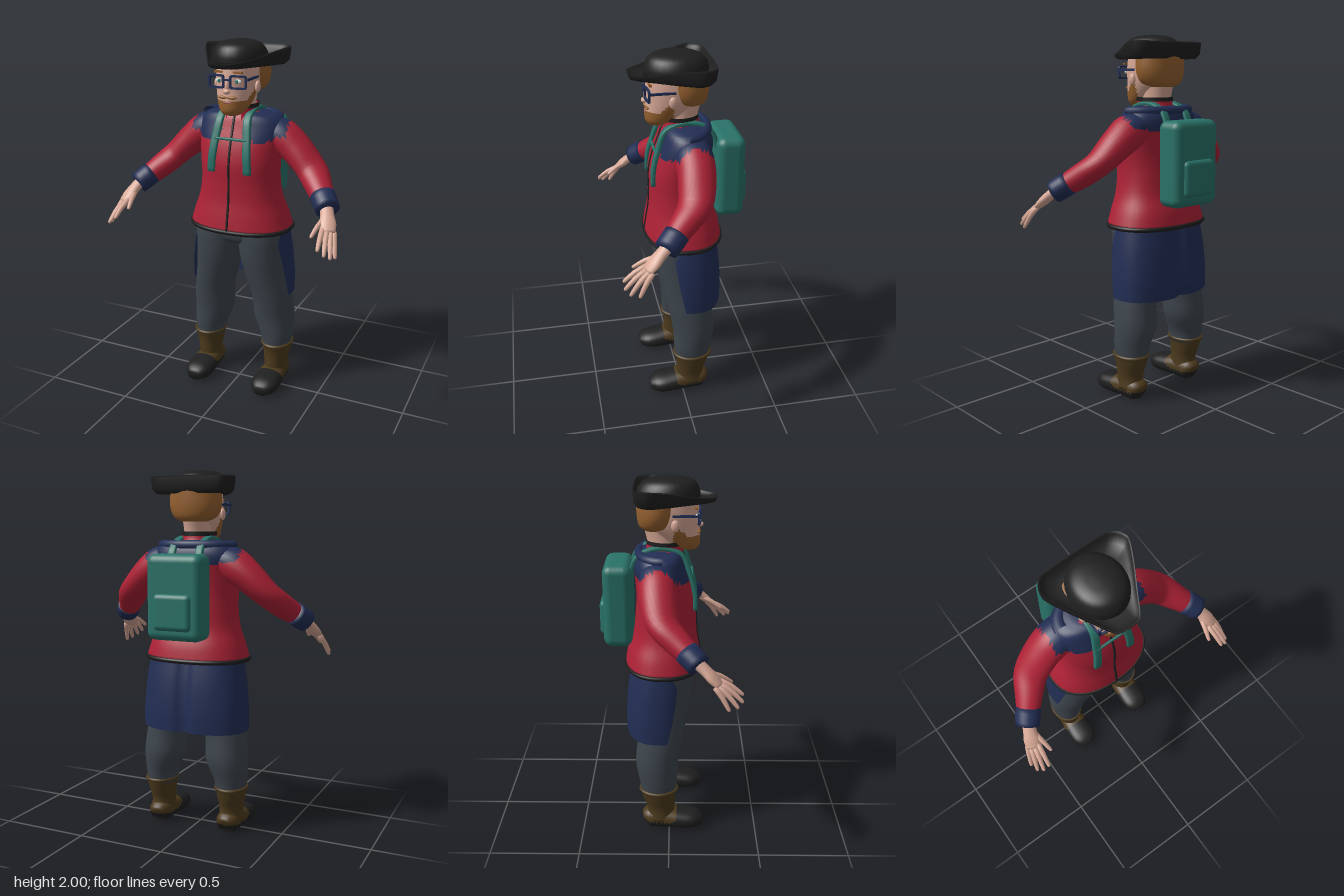
import * as THREE from 'three';
import { mergeVertices } from 'three/addons/utils/BufferGeometryUtils.js';
import { RoundedBoxGeometry } from 'three/addons/geometries/RoundedBoxGeometry.js';

const V = (x, y, z) => new THREE.Vector3(x, y, z);
const X = V(1, 0, 0), Y = V(0, 1, 0);

// Surface through rings of points; pick(x, y, z) chooses the material slot of each face
function skin(rings, { open = false, pick = () => 0 } = {}) {
  const n = rings[0].length, pts = rings.flat(), buckets = [];
  const tri = (...ids) => {
    const m = V(0, 0, 0);
    ids.forEach(i => m.addScaledVector(pts[i], 1 / 3));
    (buckets[pick(m.x, m.y, m.z)] ??= []).push(...ids);
  };
  for (let i = 0; i < rings.length - 1; i++) {
    for (let j = 0; j < (open ? n - 1 : n); j++) {
      const k = (j + 1) % n, a = i * n, b = a + n;
      tri(a + j, a + k, b + k);
      tri(a + j, b + k, b + j);
    }
  }
  if (!open) {
    [0, rings.length - 1].forEach((r, top) => {
      const c = V(0, 0, 0);
      rings[r].forEach(p => c.addScaledVector(p, 1 / n));
      const id = pts.push(c) - 1;
      for (let j = 0; j < n; j++) {
        const p = r * n + j, q = r * n + (j + 1) % n;
        top ? tri(id, p, q) : tri(id, q, p);
      }
    });
  }
  const geo = new THREE.BufferGeometry().setFromPoints(pts);
  geo.setIndex(buckets.flat());
  let start = 0;
  buckets.forEach((b, slot) => { geo.addGroup(start, b.length, slot); start += b.length; });
  geo.computeVertexNormals();
  return geo;
}

// Rounded sections along a smooth path. Rows are [x, y, z, width radius, depth radius].
// mode: 'level' keeps sections flat, 'band' keeps the width along x, 'limb' follows the path
function loft(rows, { mode = 'level', seg = 28, fine = 4, n = 2, gap, ...rest } = {}) {
  const spline = new THREE.CubicInterpolant(rows.map((_, i) => i), rows.flat(), 5);
  const steps = (rows.length - 1) * fine, samples = [];
  for (let i = 0; i <= steps; i++) samples.push([...spline.evaluate(i / fine)]);
  const sgn = v => Math.sign(v) * Math.abs(v) ** (2 / n);
  return skin(samples.map(([x, y, z, a, b], i) => {
    const p = samples[Math.max(i - 1, 0)], q = samples[Math.min(i + 1, steps)];
    const T = mode === 'level' ? Y : V(q[0] - p[0], q[1] - p[1], q[2] - p[2]).normalize();
    const A = mode === 'limb' ? Y.clone().cross(T).normalize() : X;
    const B = A.clone().cross(T).normalize();
    const g = gap ? gap(i / steps) : 0, ring = [];
    for (let j = 0; j < seg; j++) {
      const t = g + (2 * Math.PI - 2 * g) * j / (gap ? seg - 1 : seg);
      ring.push(V(x, y, z).addScaledVector(B, b * sgn(Math.cos(t))).addScaledVector(A, a * sgn(Math.sin(t))));
    }
    return ring;
  }), { open: !!gap, ...rest });
}

function mirrored(geo) {
  const g = geo.index ? geo.clone() : mergeVertices(geo);
  g.scale(-1, 1, 1);
  const ix = g.index.array;
  for (let i = 0; i < ix.length; i += 3) [ix[i], ix[i + 1]] = [ix[i + 1], ix[i]];
  return g;
}

const ball = (x, y, z, a, b, c) => new THREE.SphereGeometry(1, 16, 12).scale(a, b, c).translate(x, y, z);
const box = (x, y, z, w, h, d) => new THREE.BoxGeometry(w, h, d).translate(x, y, z);

export function createModel() {
  const model = new THREE.Group();
  const mat = (name, color, side = THREE.FrontSide) => Object.assign(new THREE.MeshStandardMaterial({ color, side }), { name });
  const red = mat('red cloth', 0xac2135, THREE.DoubleSide), navy = mat('navy cloth', 0x222e54, THREE.DoubleSide);
  const slate = mat('slate trousers', 0x3d454c), teal = mat('teal canvas', 0x297268);
  const black = mat('black felt', 0x1f1f1f, THREE.DoubleSide), brown = mat('brown leather', 0x4c3a1d);
  const ginger = mat('ginger hair', 0x94602f), flesh = mat('skin', 0xd6a795);
  const white = mat('eye white', 0xdfe3df), lip = mat('lips', 0xa8625c);
  const add = (name, geo, m) => {
    const mesh = new THREE.Mesh(geo, m);
    mesh.name = name;
    model.add(mesh);
  };
  const pair = (name, geo, m) => {
    add(name + 'Left', geo, m);
    add(name + 'Right', mirrored(geo), m);
  };

  // Jacket with navy shoulder yoke, zip and dark hem
  const torso = [
    [0, 0.98, -0.035, 0.295, 0.212], [0, 1.06, -0.033, 0.27, 0.198], [0, 1.15, -0.025, 0.237, 0.175],
    [0, 1.25, -0.022, 0.222, 0.167], [0, 1.35, -0.018, 0.224, 0.163], [0, 1.45, -0.03, 0.235, 0.155],
    [0, 1.54, -0.05, 0.245, 0.142], [0, 1.6, -0.05, 0.21, 0.12], [0, 1.625, -0.045, 0.12, 0.09]];
  const yoke = (x, y, z) => (z < -0.06 ? y > 1.5 : Math.abs(x) > 0.075 && y > 1.47 + Math.abs(Math.abs(x) - 0.15) * 0.3) ? 1 : 0;
  add('jacket', loft(torso, { seg: 40, n: 2.3, pick: yoke }), [red, navy]);
  add('hem', loft([[0, 0.968, -0.035, 0.295, 0.212], [0, 0.98, -0.035, 0.302, 0.219], [0, 0.992, -0.035, 0.297, 0.214]], { seg: 40, n: 2.3 }), black);
  add('zip', loft(torso.map(([, y, cz, , rz]) => [0, y, cz + rz, 0.007, 0.006]), { mode: 'band', seg: 8 }), black);
  add('hood', new THREE.TorusGeometry(0.18, 0.034, 10, 32, Math.PI).rotateX(-Math.PI / 2).scale(1.1, 0.75, 0.72).translate(0, 1.6, -0.035), navy);
  const collarGap = () => 0.4;
  add('collar', loft([[0, 1.585, -0.03, 0.11, 0.115], [0, 1.63, -0.025, 0.095, 0.1], [0, 1.665, -0.022, 0.092, 0.098]], { gap: collarGap }), red);
  add('collarTrim', loft([[0, 1.648, -0.022, 0.097, 0.103], [0, 1.67, -0.022, 0.097, 0.103]], { gap: collarGap }), black);

  // Open-fronted coat tails with a crease at the back
  const tails = loft([[0, 0.585, -0.06, 0.305, 0.185], [0, 0.7, -0.06, 0.303, 0.187], [0, 0.85, -0.055, 0.29, 0.18], [0, 1, -0.05, 0.265, 0.16]],
    { seg: 49, n: 2.4, gap: t => 1.36 - 0.4 * t });
  const tp = tails.attributes.position;
  for (let i = 0; i < tp.count; i++) {
    if (tp.getZ(i) < -0.1) tp.setZ(i, tp.getZ(i) + 0.03 * Math.exp(-((tp.getX(i) / 0.035) ** 2)));
  }
  tails.computeVertexNormals();
  add('coatTails', tails, navy);

  // Arms, cuffs and hands
  pair('sleeve', loft([[0.14, 1.53, -0.06, 0.09, 0.07], [0.22, 1.495, -0.06, 0.1, 0.095], [0.31, 1.43, -0.055, 0.098, 0.085],
    [0.41, 1.335, -0.025, 0.09, 0.07], [0.48, 1.265, 0.05, 0.072, 0.065], [0.55, 1.2, 0.135, 0.055, 0.052]],
  { mode: 'limb', pick: (x, y) => (x < 0.275 && y > 1.51 ? 1 : 0) }), [red, navy]);
  pair('cuff', loft([[0.512, 1.237, 0.088, 0.067, 0.063], [0.54, 1.21, 0.121, 0.066, 0.062], [0.565, 1.185, 0.152, 0.064, 0.06]],
    { mode: 'limb', fine: 2 }), navy);
  pair('palm', loft([[0.55, 1.2, 0.135, 0.036, 0.03], [0.572, 1.165, 0.18, 0.036, 0.026], [0.588, 1.13, 0.218, 0.044, 0.024],
    [0.603, 1.098, 0.252, 0.036, 0.016]], { mode: 'limb', seg: 18 }), flesh);
  const fingers = {
    index: [0.572, 1.112, 0.25, 0.588, 1.04, 0.372], middle: [0.594, 1.102, 0.253, 0.622, 1.015, 0.37],
    ring: [0.613, 1.095, 0.246, 0.648, 0.995, 0.345], little: [0.625, 1.098, 0.228, 0.66, 0.985, 0.3],
    thumb: [0.56, 1.15, 0.19, 0.533, 1.085, 0.318]
  };
  for (const [name, [x, y, z, u, v, w]] of Object.entries(fingers)) {
    const at = (t, r, lift = 0) => [x + (u - x) * t, y + (v - y) * t + lift, z + (w - z) * t, r, r];
    pair(name + 'Finger', loft([at(0, 0.015), at(0.5, 0.0135, 0.008), at(0.92, 0.01), at(1, 0.004)], { mode: 'limb', seg: 10, fine: 2 }), flesh);
  }

  // Trousers
  pair('trouserLeg', loft([[0.215, 0.24, -0.06, 0.083, 0.1], [0.213, 0.31, -0.062, 0.093, 0.107], [0.193, 0.42, -0.07, 0.117, 0.12],
    [0.183, 0.55, -0.055, 0.116, 0.125], [0.156, 0.68, -0.04, 0.123, 0.135], [0.136, 0.8, -0.025, 0.13, 0.14],
    [0.13, 0.92, -0.02, 0.135, 0.142], [0.125, 1, -0.02, 0.135, 0.138]]), slate);
  add('trouserSeat', loft([[0, 0.88, -0.03, 0.1, 0.1], [0, 0.92, -0.03, 0.22, 0.135], [0, 1.02, -0.03, 0.25, 0.145]], { n: 2.3 }), slate);

  // Boots: brown shafts on black shoes
  pair('bootShaft', loft([[0.215, 0.06, -0.055, 0.07, 0.085], [0.215, 0.13, -0.048, 0.066, 0.08], [0.217, 0.2, -0.058, 0.077, 0.092],
    [0.218, 0.262, -0.06, 0.089, 0.107]]), brown);
  pair('bootRim', new THREE.TorusGeometry(1, 0.1, 8, 28).rotateX(Math.PI / 2).scale(0.086, 0.1, 0.103).translate(0.218, 0.258, -0.06), brown);
  pair('shoe', loft([[0.213, 0.05, -0.14, 0.03, 0.03], [0.213, 0.06, -0.115, 0.062, 0.058], [0.213, 0.062, -0.03, 0.07, 0.06],
    [0.213, 0.056, 0.06, 0.08, 0.054], [0.213, 0.05, 0.14, 0.076, 0.047], [0.213, 0.04, 0.19, 0.04, 0.028]],
  { mode: 'band', n: 2.3, pick: (x, y, z) => (z < 0.045 && y > 0.055 + Math.max(0, z) * 0.5 ? 1 : 0) }), [black, brown]);

  // Head with beard, hair and face
  add('neck', loft([[0, 1.57, -0.03, 0.08, 0.085], [0, 1.66, -0.035, 0.073, 0.085], [0, 1.76, -0.045, 0.08, 0.1]]), flesh);
  const beard = (x, y, z) => z > 0.02 && (y < 1.702 || (Math.abs(x) > 0.068 && z < 0.1 && y < 1.695 + (0.1 - z) * 1.1)) ? 1 : 0;
  add('head', loft([[0, 1.622, 0.1, 0.045, 0.045], [0, 1.65, 0.075, 0.073, 0.085], [0, 1.7, 0.04, 0.095, 0.12], [0, 1.76, 0.005, 0.112, 0.15],
    [0, 1.82, -0.005, 0.117, 0.16], [0, 1.89, -0.01, 0.115, 0.155]], { seg: 44, fine: 6, pick: beard }), [flesh, ginger]);
  add('hair', loft([[0, 1.725, -0.085, 0.075, 0.055], [0, 1.75, -0.07, 0.122, 0.095], [0, 1.81, -0.065, 0.147, 0.11],
    [0, 1.9, -0.06, 0.143, 0.115]]), ginger);
  pair('ear', ball(0.118, 1.765, 0.03, 0.014, 0.032, 0.022), flesh);
  add('noseBridge', ball(0, 1.775, 0.153, 0.013, 0.035, 0.014), flesh);
  add('noseTip', ball(0, 1.75, 0.162, 0.02, 0.014, 0.016), flesh);
  pair('moustache', ball(0.024, 1.718, 0.152, 0.03, 0.009, 0.012).rotateZ(0), ginger);
  add('mouth', ball(0, 1.692, 0.157, 0.026, 0.008, 0.005), lip);
  pair('eye', ball(0.05, 1.802, 0.139, 0.023, 0.012, 0.008), white);
  pair('iris', ball(0.05, 1.802, 0.146, 0.009, 0.01, 0.003), teal);
  pair('eyebrow', box(0.053, 1.847, 0.139, 0.05, 0.01, 0.015), ginger);

  // Glasses
  const roundRect = (path, w, h, r) => {
    const corners = [[w - r, r - h, -1], [w - r, h - r, 0], [r - w, h - r, 1], [r - w, r - h, 2]];
    corners.forEach(([x, y, q]) => path.absarc(x, y, r, q * Math.PI / 2, (q + 1) * Math.PI / 2, false));
    return path;
  };
  const frame = roundRect(new THREE.Shape(), 0.047, 0.036, 0.014);
  frame.holes.push(roundRect(new THREE.Path(), 0.037, 0.026, 0.009));
  pair('glassesFrame', new THREE.ExtrudeGeometry(frame, { depth: 0.011, bevelEnabled: false, curveSegments: 5 })
    .rotateY(0.12).translate(0.061, 1.8, 0.15), navy);
  add('glassesBridge', box(0, 1.81, 0.163, 0.034, 0.01, 0.01), navy);
  pair('glassesArm', box(0.112, 1.815, 0.085, 0.009, 0.012, 0.14), navy);

  // Three-cornered hat: brim folded up around a domed crown
  const half = [[0.06, 0.238], [0.13, 0.125], [0.2, 0.0], [0.246, -0.11], [0.18, -0.183]];
  const outline = [...half, ...half.map(([x, z]) => [-x, z]).reverse()].map(([x, z]) => V(x, 0, z));
  const edge = new THREE.CatmullRomCurve3(outline, true, 'catmullrom', 0.3).getPoints(60).slice(0, 60);
  const rim = z => 1.903 + 0.06 * THREE.MathUtils.smoothstep(0.24 - z, 0, 0.36);
  const brimRows = [[0.5, 0], [0.88, 0], [0.97, 0.25], [1, 0.9], [0.985, 1], [0.95, 0.85], [0.86, 0.4], [0.6, 0.3]];
  add('hatBrim', skin(brimRows.map(([s, t]) => edge.map(p => V(p.x * s, 1.872 + (rim(p.z) - 1.872) * t, p.z * s)))), black);
  add('hatCrown', loft([[0, 1.885, -0.008, 0.145, 0.168], [0, 1.93, -0.008, 0.142, 0.165], [0, 1.972, -0.003, 0.118, 0.138],
    [0, 1.993, 0, 0.075, 0.09], [0, 2, 0, 0.02, 0.025]]), black);

  // Backpack with pocket and straps
  add('backpack', new RoundedBoxGeometry(0.32, 0.455, 0.155, 5, 0.045).translate(0, 1.33, -0.278), teal);
  add('backpackPocket', new RoundedBoxGeometry(0.22, 0.195, 0.07, 4, 0.028).translate(0, 1.255, -0.342), teal);
  pair('strap', loft([[0.08, 1.48, -0.215, 0.022, 0.012], [0.08, 1.59, -0.175, 0.022, 0.012], [0.077, 1.638, -0.06, 0.022, 0.012],
    [0.078, 1.605, 0.062, 0.022, 0.013], [0.09, 1.5, 0.108, 0.022, 0.013], [0.1, 1.4, 0.134, 0.022, 0.013], [0.105, 1.31, 0.138, 0.022, 0.013]],
  { mode: 'band', seg: 16, n: 3.5 }), teal);
  add('chestStrap', new RoundedBoxGeometry(0.19, 0.014, 0.014, 2, 0.005).translate(0, 1.49, 0.12), teal);

  return model;
}
